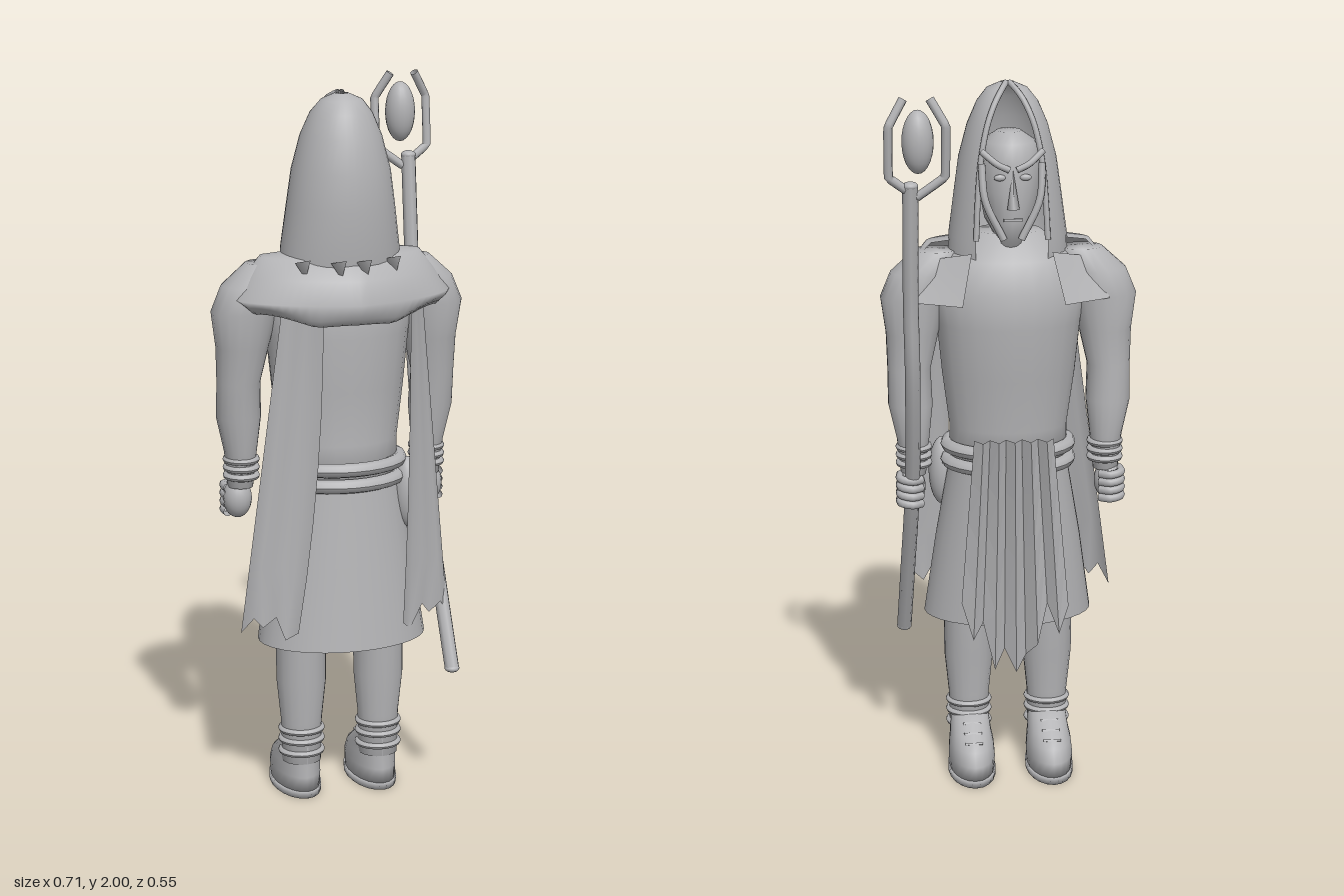
import * as THREE from 'three';

const clay = new THREE.MeshStandardMaterial({ color: 0xb3b3b5, side: THREE.DoubleSide });
clay.name = 'clay grey';

const V = (x, y, z) => new THREE.Vector3(x, y, z);

function add(parent, name, geometry, x = 0, y = 0, z = 0) {
  const mesh = new THREE.Mesh(geometry, clay);
  mesh.name = name;
  mesh.position.set(x, y, z);
  parent.add(mesh);
  return mesh;
}

// Surface sampled from a function of u, v in 0..1
function sheet(nu, nv, fn, closed = false) {
  const pos = [], index = [], cols = closed ? nu : nu + 1;
  for (let j = 0; j <= nv; j++)
    for (let i = 0; i < cols; i++) pos.push(...fn(i / nu, j / nv, j));
  for (let j = 0; j < nv; j++)
    for (let i = 0; i < nu; i++) {
      const a = j * cols + i, b = j * cols + (i + 1) % cols;
      index.push(a, b, b + cols, a, b + cols, a + cols);
    }
  if (closed) {
    for (const j of [0, nv]) {
      const c = pos.length / 3;
      let y = 0, x = 0, z = 0;
      for (let i = 0; i < cols; i++) {
        const k = 3 * (j * cols + i);
        x += pos[k] / cols; y += pos[k + 1] / cols; z += pos[k + 2] / cols;
      }
      pos.push(x, y, z);
      for (let i = 0; i < cols; i++) {
        const a = j * cols + i, b = j * cols + (i + 1) % cols;
        if (j) index.push(a, b, c); else index.push(b, a, c);
      }
    }
  }
  const g = new THREE.BufferGeometry();
  g.setAttribute('position', new THREE.Float32BufferAttribute(pos, 3));
  g.setIndex(index);
  g.computeVertexNormals();
  return g;
}

// Rows are [y, half width, back z, front z, centre x, half sweep angle]
function loft(rows, n = 24) {
  const open = rows[0][5] !== undefined;
  return sheet(n, rows.length - 1, (u, v, j) => {
    const [y, rx, zb, zf, cx = 0, sweep = Math.PI] = rows[j];
    const t = (u * 2 - 1) * sweep;
    return [cx + rx * Math.sin(t), y, (zb + zf) / 2 + (zb - zf) / 2 * Math.cos(t)];
  }, !open);
}

function tube(points, r, seg = 24, tension = 0.5) {
  return new THREE.TubeGeometry(new THREE.CatmullRomCurve3(points, false, 'catmullrom', tension), seg, r, 8);
}

function ring(parent, name, x, y, z, rx, rz, r) {
  const g = new THREE.TorusGeometry(1, 0.1, 8, 28).rotateX(Math.PI / 2);
  // Keep the tube round while the ring is oval
  const p = g.attributes.position;
  for (let i = 0; i < p.count; i++) {
    const a = Math.atan2(p.getZ(i), p.getX(i)), d = Math.hypot(p.getX(i), p.getZ(i)) - 1;
    p.setXYZ(i, (rx + d * 10 * r) * Math.cos(a), p.getY(i) * 10 * r, (rz + d * 10 * r) * Math.sin(a));
  }
  g.computeVertexNormals();
  return add(parent, name, g, x, y, z);
}

function ball(parent, name, x, y, z, sx, sy, sz) {
  return add(parent, name, new THREE.SphereGeometry(1, 20, 14).scale(sx, sy, sz), x, y, z);
}

export function createModel() {
  const model = new THREE.Group();
  model.name = 'hoodedStaffBearer';

  // Torso, skirt and belt
  add(model, 'torso', loft([
    [0.9, 0.165, 0.19, -0.065], [1.03, 0.165, 0.175, -0.067], [1.18, 0.185, 0.18, -0.088],
    [1.33, 0.2, 0.188, -0.102], [1.43, 0.215, 0.18, -0.1], [1.51, 0.18, 0.16, -0.065], [1.58, 0.09, 0.13, -0.01]]));
  add(model, 'skirt', loft([
    [0.468, 0.238, 0.252, -0.078, 0, Math.PI], [0.7, 0.205, 0.222, -0.078, 0, Math.PI],
    [0.93, 0.165, 0.195, -0.07, 0, Math.PI]], 32));
  for (const y of [0.925, 0.97]) ring(model, 'belt', 0, y, 0.062, 0.17, 0.136, 0.02);
  ball(model, 'hipPouch', 0.18, 0.875, 0.115, 0.04, 0.1, 0.045);

  // Pleated cloth hanging at the face side
  const ends = [0.54, 0.47, 0.55, 0.44, 0.4, 0.36, 0.42, 0.37, 0.5, 0.46, 0.56];
  add(model, 'loinCloth', sheet(10, 4, (u, v) => {
    const k = Math.round(u * 10), x = (u - 0.5) * (0.22 + 0.08 * v);
    return [x, 1.02 + (ends[k] - 1.02) * v, -0.088 - 0.035 * v - (k % 2 ? 0.032 : 0)];
  }).toNonIndexed()).geometry.computeVertexNormals();

  // Torn cape strips: inner and outer x at top and hem
  const torn = [0.51, 0.56, 0.53, 0.57, 0.5, 0.53];
  for (const [in0, in1, out0, out1] of [[-0.085, -0.165, -0.18, -0.3], [0.16, 0.135, 0.215, 0.3]]) {
    add(model, 'capeStrip', sheet(5, 6, (u, v) => {
      const k = Math.round(u * 5), a = in0 + (in1 - in0) * v * v, b = out0 + (out1 - out0) * v;
      return [b + (a - b) * u, 1.43 + (torn[k] - 1.43) * v,
        0.135 + 0.065 * u + 0.02 * v * u + (k % 2 ? 0.01 : -0.01) * v];
    }));
  }

  for (const s of [-1, 1]) {
    const side = new THREE.Group();
    side.name = s > 0 ? 'leftLimbs' : 'rightLimbs';
    model.add(side);

    // Arm with wrist wraps and fist
    add(side, 'arm', loft([
      [0.9, 0.035, 0.055, -0.02, s * 0.27], [1.0, 0.045, 0.07, -0.03, s * 0.27],
      [1.1, 0.062, 0.085, -0.033, s * 0.276], [1.2, 0.06, 0.095, -0.022, s * 0.278],
      [1.3, 0.073, 0.112, -0.027, s * 0.268], [1.4, 0.093, 0.127, -0.03, s * 0.262],
      [1.47, 0.09, 0.122, -0.027, s * 0.236], [1.53, 0.06, 0.1, 0, s * 0.2]], 18));
    for (const y of [0.932, 0.955, 0.978]) ring(side, 'wristWrap', s * 0.268, y, 0.02, 0.041, 0.043, 0.01);
    ball(side, 'fist', s * 0.277, 0.865, 0.01, 0.04, 0.056, 0.042);
    for (let i = 0; i < 4; i++) {
      const y = 0.897 - i * 0.023;
      add(side, 'finger', tube([V(s * 0.307, y, 0.02), V(s * 0.308, y, -0.024), V(s * 0.278, y - 0.004, -0.04),
        V(s * 0.25, y - 0.005, -0.02)], 0.012, 10));
    }

    // Leg, ankle wraps and shoe
    add(side, 'leg', loft([
      [0.1, 0.055, 0.125, 0.02, s * 0.113], [0.22, 0.058, 0.125, 0.02, s * 0.113],
      [0.34, 0.07, 0.14, 0.005, s * 0.113], [0.5, 0.071, 0.14, -0.005, s * 0.113],
      [0.62, 0.08, 0.15, -0.01, s * 0.11]], 18));
    for (const y of [0.13, 0.165, 0.195]) ring(side, 'ankleWrap', s * 0.113, y, 0.073, 0.057, 0.053, 0.009);
    add(side, 'shoe', loft([
      [0.02, 0.064, 0.13, -0.128, s * 0.112], [0.06, 0.066, 0.128, -0.128, s * 0.112],
      [0.095, 0.063, 0.125, -0.105, s * 0.112], [0.12, 0.058, 0.125, -0.065, s * 0.112],
      [0.15, 0.055, 0.125, -0.015, s * 0.112], [0.17, 0.048, 0.12, 0.015, s * 0.112]], 20));
    add(side, 'sole', loft([
      [0, 0.067, 0.132, -0.132, s * 0.112], [0.02, 0.068, 0.133, -0.132, s * 0.112]], 20));
    for (let i = 0; i < 3; i++) {
      const lace = add(side, 'lace', new THREE.BoxGeometry(0.05, 0.006, 0.008), s * 0.112, 0.148 - i * 0.018, -0.01 - i * 0.032);
      lace.rotation.x = 0.5;
    }

    // Chest end of the mantle
    add(model, 'mantleFlap', sheet(4, 4, (u, v) => [
      s * (0.11 + 0.13 * u + 0.03 * v), 1.535 - 0.03 * u - 0.12 * v + (u - 0.5) * 0.03 * v,
      -0.045 - 0.053 * v + 0.065 * u]));
  }

  // Shoulder mantle: rows are [y, half width, back z, side z, half sweep], ridged along the spine
  const mantle = [[1.385, 0.24, 0.2, 0.09, 1.6], [1.37, 0.275, 0.24, 0.09, 1.6], [1.39, 0.298, 0.266, 0.09, 1.6],
    [1.44, 0.305, 0.272, 0.085, 1.65], [1.5, 0.265, 0.245, 0.07, 1.75], [1.55, 0.225, 0.19, 0.07, 1.9],
    [1.56, 0.12, 0.15, 0.07, 1.9]];
  add(model, 'mantle', sheet(36, mantle.length - 1, (u, v, j) => {
    const [y, rx, zb, zs, sweep] = mantle[j], t = (2 * u - 1) * sweep, s = Math.sin(t), c = Math.cos(t);
    const scallop = j < 3 ? 0.012 * Math.abs(Math.cos(u * Math.PI * 4)) + 0.04 * s * s : 0;
    return [rx * s, y + scallop, zs + (zb - zs) * (0.7 * c + 0.3 * Math.sign(c) * (1 - Math.abs(s)))];
  }));
  for (const x of [-0.13, -0.04, 0.03, 0.12]) {
    const tear = add(model, 'collarTear', new THREE.ConeGeometry(0.025, 0.045, 3), x, 1.525, 0.215 - x * x * 2.2);
    tear.rotation.set(Math.PI - 0.4, 0.5, 0);
  }

  // Hood, open toward the face, with a rolled rim
  const hoodRows = [
    [1.5, 0.165, 0.2, -0.065, 0, 2.5], [1.57, 0.163, 0.21, -0.07, 0, 2.5], [1.68, 0.148, 0.215, -0.065, 0, 2.47],
    [1.78, 0.134, 0.21, -0.055, 0, 2.47], [1.87, 0.11, 0.19, -0.035, 0, 2.5], [1.93, 0.084, 0.165, -0.005, 0, 2.6],
    [1.965, 0.056, 0.142, 0.028, 0, 2.75], [1.982, 0.018, 0.102, 0.068, 0, 2.9]];
  add(model, 'hood', loft(hoodRows, 32));
  for (const s of [-1, 1]) {
    const rim = hoodRows.slice(1).map(([y, rx, zb, zf, , t]) =>
      V(s * rx * Math.sin(t), y, (zb + zf) / 2 + (zb - zf) / 2 * Math.cos(t)));
    add(model, 'hoodRim', tube(rim, 0.008));
  }

  // Head, masked face and features
  add(model, 'head', loft([
    [1.5, 0.06, 0.11, 0.0], [1.57, 0.04, 0.12, -0.05], [1.62, 0.068, 0.13, -0.063], [1.7, 0.083, 0.14, -0.064],
    [1.78, 0.088, 0.14, -0.06], [1.83, 0.072, 0.125, -0.042], [1.857, 0.033, 0.08, 0]], 20));
  const nose = add(model, 'nose', new THREE.ConeGeometry(0.017, 0.11, 4), 0, 1.715, -0.068);
  nose.rotation.x = 0.12;
  for (const s of [-1, 1]) {
    add(model, 'brow', tube([V(s * 0.01, 1.768, -0.073), V(s * 0.045, 1.785, -0.069), V(s * 0.083, 1.815, -0.048)], 0.009, 10));
    ball(model, 'eye', s * 0.035, 1.745, -0.057, 0.016, 0.009, 0.008);
    add(model, 'cheekGuard', tube([V(s * 0.082, 1.78, -0.035), V(s * 0.073, 1.68, -0.053), V(s * 0.024, 1.575, -0.056)], 0.01, 12));
  }
  const mouth = add(model, 'mouth', new THREE.BoxGeometry(0.05, 0.008, 0.008), 0, 1.63, -0.064);
  mouth.rotation.x = 0.1;

  // Staff: bent shaft, forked head and gem
  const staff = new THREE.Group();
  staff.name = 'staff';
  model.add(staff);
  const path = [V(0.288, 0.375, 0.205), V(0.282, 0.6, 0.105), V(0.276, 0.87, -0.015), V(0.28, 1.2, -0.132),
    V(0.286, 1.45, -0.172), V(0.287, 1.76, -0.213)];
  add(staff, 'shaft', tube(path, 0.021, 40));
  for (const i of [0, 5]) ball(staff, 'shaftEnd', path[i].x, path[i].y, path[i].z, 0.021, 0.012, 0.021);
  for (const s of [-1, 1])
    add(staff, 'prong', tube([V(0.27, 1.73, -0.212), V(0.27 + s * 0.074, 1.785, -0.222),
      V(0.27 + s * 0.075, 1.92, -0.24), V(0.27 + s * 0.035, 1.99, -0.222)], 0.012, 30, 0.05));
  ball(staff, 'gem', 0.268, 1.88, -0.232, 0.042, 0.084, 0.042);

  return model;
}
